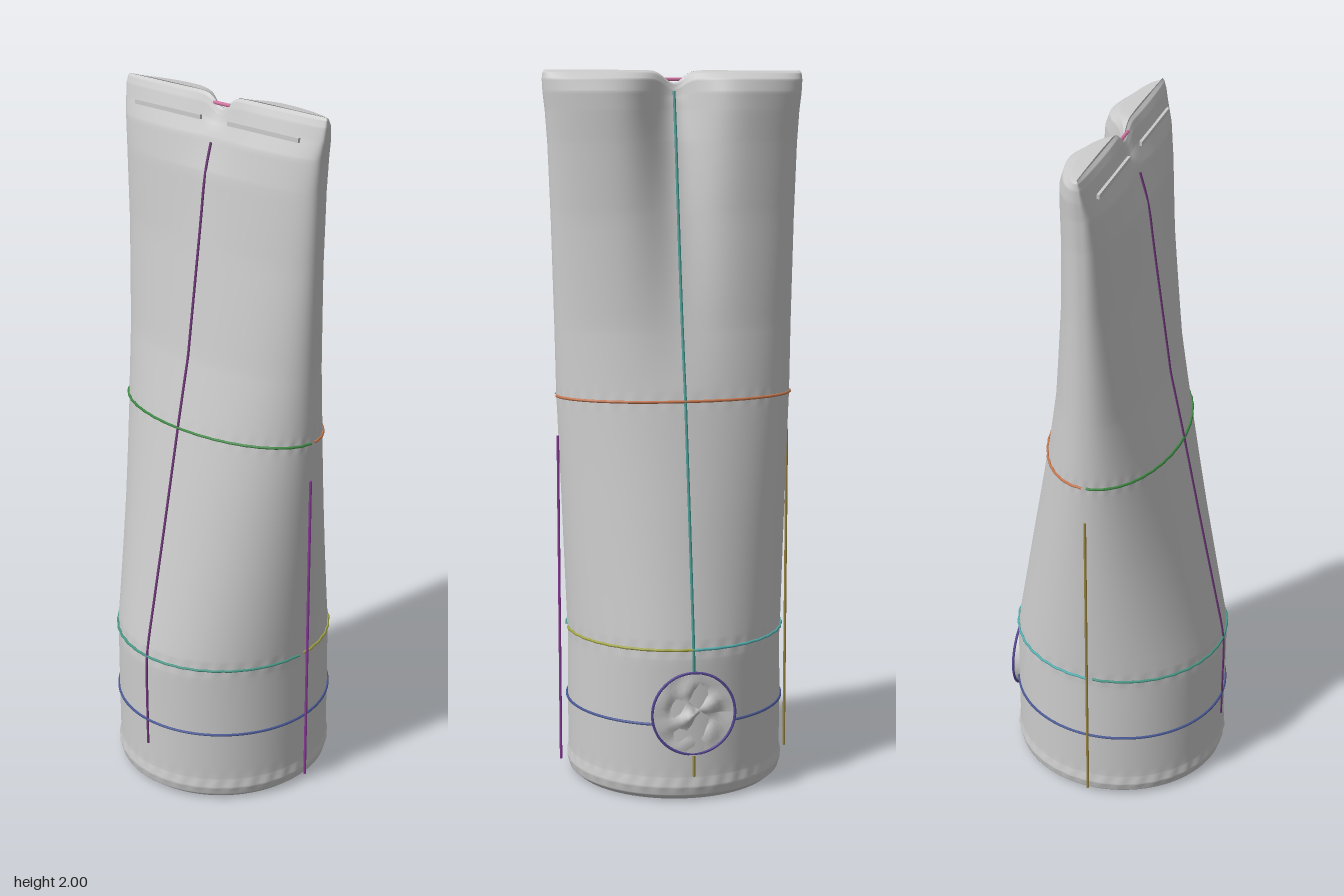
import * as THREE from 'three';

// Cross-section rows: y, half width, front depth, back depth, back pinch, front pinch, front squareness
const ROWS = [
  [0, 0.288, 0.295, 0.295, 0, 0, 1],
  [0.015, 0.305, 0.313, 0.313, 0, 0, 1],
  [0.04, 0.311, 0.319, 0.319, 0, 0, 1],
  [0.07, 0.307, 0.315, 0.315, 0, 0, 1],
  [0.22, 0.308, 0.315, 0.314, 0, 0, 1],
  [0.40, 0.306, 0.316, 0.312, 0, 0, 1],
  [0.46, 0.309, 0.310, 0.304, 0, 0, 1],
  [0.80, 0.322, 0.240, 0.242, 0, 0, 1],
  [1.07, 0.333, 0.186, 0.191, 0.01, 0, 0.97],
  [1.13, 0.335, 0.174, 0.180, 0.02, 0, 0.95],
  [1.30, 0.338, 0.138, 0.152, 0.12, 0, 0.88],
  [1.60, 0.345, 0.096, 0.124, 0.40, 0, 0.75],
  [1.80, 0.352, 0.076, 0.118, 0.68, 0.08, 0.62],
  [1.89, 0.358, 0.058, 0.118, 0.85, 0.25, 0.52],
  [1.94, 0.364, 0.034, 0.115, 0.92, 0.35, 0.45],
  [1.975, 0.366, 0.022, 0.100, 0.94, 0.4, 0.45],
  [1.993, 0.364, 0.012, 0.065, 0.95, 0.4, 0.5],
  [2, 0.360, 0.002, 0.004, 0.9, 0.4, 0.6],
];

function section(y) {
  let i = 0;
  while (i < ROWS.length - 2 && y > ROWS[i + 1][0]) i++;
  const f = (y - ROWS[i][0]) / (ROWS[i + 1][0] - ROWS[i][0]);
  return ROWS[i].map((v, k) => THREE.MathUtils.lerp(v, ROWS[i + 1][k], f));
}

// Point of the bag's skin at height y and angle t (0 = +x, PI/2 = front)
function skin(y, t, lift = 0) {
  const [, a, front, back, backPinch, frontPinch, square] = section(y);
  const s = Math.sin(t);
  const near = (h, w) => Math.exp(-(((y - h) / w) ** 2));
  const pucker = 1 + Math.sin(t * 38) * (0.006 * near(0.05, 0.02) + 0.004 * near(0.43, 0.02) + 0.004 * near(1.1, 0.02));
  const x = a * Math.cos(t) * pucker;
  const dip = Math.exp(-((x / 0.1) ** 2));
  const z = s >= 0
    ? front * Math.pow(s, square) * (1 - frontPinch * dip)
    : back * s * (1 - backPinch * dip);
  const notch = 0.035 * Math.exp(-((x / 0.035) ** 2)) * THREE.MathUtils.smoothstep(y, 1.9, 2);
  return new THREE.Vector3(x + lift * Math.cos(t), y - notch, z * pucker + lift * s);
}

function bagGeometry() {
  const cols = 192, heights = [0];
  for (let i = 1; i < ROWS.length; i++) {
    for (let k = 1; k <= 8; k++) heights.push(THREE.MathUtils.lerp(ROWS[i - 1][0], ROWS[i][0], k / 8));
  }
  const pos = [], index = [];
  heights.forEach((y, r) => {
    for (let c = 0; c < cols; c++) {
      pos.push(...skin(y, (c / cols) * Math.PI * 2).toArray());
      if (r === heights.length - 1) continue;
      const p = r * cols + c, q = r * cols + ((c + 1) % cols);
      index.push(p, p + cols, q, q, p + cols, q + cols);
    }
  });
  const g = new THREE.BufferGeometry();
  g.setAttribute('position', new THREE.Float32BufferAttribute(pos, 3));
  g.setIndex(index);
  g.computeVertexNormals();
  return g;
}

export function createModel() {
  const model = new THREE.Group();
  const add = (name, geometry, color = 0xcccccc, side = THREE.FrontSide) => {
    const mesh = new THREE.Mesh(geometry, new THREE.MeshStandardMaterial({ color, side }));
    mesh.name = name;
    model.add(mesh);
    return mesh;
  };
  const thread = (name, color, points, closed = false) =>
    add(name, new THREE.TubeGeometry(new THREE.CatmullRomCurve3(points, closed), 96, 0.004, 6, closed), color);
  const sample = (n, fn) => Array.from({ length: n + 1 }, (_, i) => fn(i / n));
  const PI = Math.PI;

  // Bag, round at the base and pressed flat into two lobes at the top
  add('bag', bagGeometry(), 0xcccccc, THREE.DoubleSide);
  add('base', new THREE.CircleGeometry(0.3, 64).rotateX(PI / 2).scale(0.97, 1, 1).translate(0, 0.012, 0));

  // Crossed seams under the base
  for (const turn of [0, PI / 2]) {
    add('baseSeam', new THREE.BoxGeometry(0.56, 0.008, 0.016).rotateY(turn).translate(0, 0.01, 0));
  }

  // Stitching around the bag: name, colour, height, start and end angle
  const bands = [
    ['frontMiddleSeam', 0x3f8a45, 1.1, 0.03, PI - 0.03],
    ['backMiddleSeam', 0xc87850, 1.1, PI + 0.03, 2 * PI - 0.03],
    ['frontLowerSeam', 0x4a9a88, 0.43, 0.03, PI - 0.03],
    ['backLowerRightSeam', 0x55b0b0, 0.43, PI + 0.03, 1.5 * PI],
    ['backLowerLeftSeam', 0xa5a845, 0.43, 1.5 * PI, 2 * PI - 0.03],
    ['baseBandSeam', 0x4a5a98, 0.22, -PI / 2 + 0.37, 1.5 * PI - 0.37],
  ];
  for (const [name, color, y, from, to] of bands) {
    thread(name, color, sample(40, (u) => skin(y, from + (to - from) * u, 0.002)));
  }

  // Centre seams and loose side threads
  thread('frontCentreSeam', 0x70387a, sample(30, (u) => skin(0.14 + 1.74 * u, PI / 2, 0.001)));
  thread('backCentreSeam', 0x459a92, sample(30, (u) => skin(0.37 + 1.6 * u, -PI / 2, 0.001)));
  thread('backCentreSeamEnd', 0xa09040, sample(4, (u) => skin(0.07 + 0.06 * u, -PI / 2, 0.001)));
  for (const [name, x, color] of [['leftSideThread', 0.332, 0x8a3a98], ['rightSideThread', -0.332, 0x9a8540]]) {
    add(name, new THREE.CylinderGeometry(0.004, 0.004, 0.95, 6).translate(x, 0.51, 0), color);
  }

  // Folded hem strips on the front and the tie at the pinch
  for (const side of [-1, 1]) {
    add('hemStrip', new THREE.BoxGeometry(0.25, 0.012, 0.008).translate(side * 0.175, 1.937, 0.034));
  }
  add('topTie', new THREE.CylinderGeometry(0.005, 0.005, 0.06, 6).rotateZ(PI / 2).translate(0, 1.975, 0.005), 0xd87aa8);

  // Crumpled round patch low on the back, with its outline thread
  const patch = new THREE.CylinderGeometry(0.112, 0.112, 0.03, 32, 1, true).rotateX(PI / 2).translate(0, 0.25, -0.298);
  add('patchRim', patch, 0xcccccc, THREE.DoubleSide);
  const face = new THREE.RingGeometry(0.001, 0.112, 32, 6).rotateY(PI);
  const p = face.attributes.position;
  for (let i = 0; i < p.count; i++) {
    const x = p.getX(i), y = p.getY(i), fade = 1 - Math.hypot(x, y) / 0.112;
    p.setZ(i, -0.313 - 0.012 * fade * (Math.sin(x * 90) + Math.cos(y * 75 + x * 40)));
  }
  face.computeVertexNormals();
  add('patch', face.translate(0, 0.25, 0), 0xcccccc, THREE.DoubleSide);
  thread('patchThread', 0x5a4a98, sample(31, (u) => new THREE.Vector3(
    0.116 * Math.cos(u * 2 * PI * 31 / 32), 0.25 + 0.116 * Math.sin(u * 2 * PI * 31 / 32), -0.312)), true);

  return model;
}
